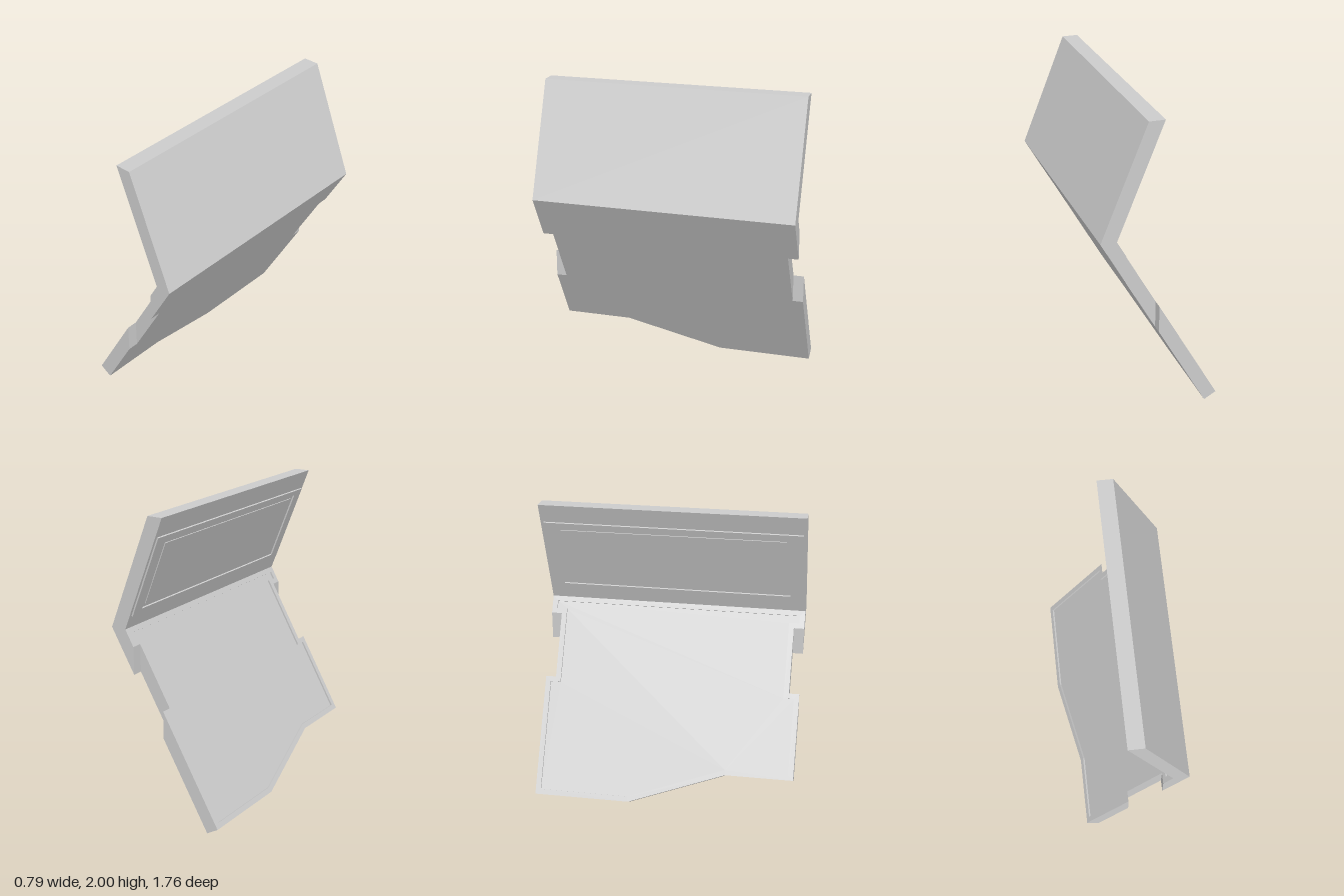
import * as THREE from 'three';

const HALF = 0.88, HINGE_Y = 1.25, OUT_X = 0.39, IN_X = 0.285;
const DX = 0.494, DY = 0.869; // slope of the lower panel, running down from the hinge
const material = new THREE.MeshStandardMaterial({ color: 0xcccccc, flatShading: true, side: THREE.DoubleSide });

function addMesh(group, geometry, name) {
  const mesh = new THREE.Mesh(geometry, material);
  mesh.name = name;
  group.add(mesh);
}

// Point on the lower panel: t down the slope, z across, depth into its thickness
const lowerPoint = (x0, t, z, depth = 0) =>
  new THREE.Vector3(x0 - DX * t + DY * depth, HINGE_Y - DY * t - DX * depth, z);

// Lower panel: outline rows are [z, t on outer face, t on inner face]
function lowerPanelGeometry() {
  const outline = [
    [HALF, 0, 0], [HALF, 0.334, 0.121], [0.81, 0.334, 0.121], [0.81, 0.779, 0.567], [HALF, 0.779, 0.567],
    [HALF, 1.203, 1.151], [0.42, 1.203, 1.151], [-0.23, 1.438, 1.386], [-HALF, 1.438, 1.386],
    [-HALF, 0.779, 0.567], [-0.81, 0.779, 0.567], [-0.81, 0.334, 0.121], [-HALF, 0.334, 0.121], [-HALF, 0, 0],
  ];
  // The recess follows the outline, one rim width inside it
  const recess = [
    [0.845, 0.035], [0.845, 0.086], [0.775, 0.086], [0.775, 0.602], [0.845, 0.602],
    [0.845, 1.116], [0.415, 1.116], [-0.235, 1.351], [-0.845, 1.351],
    [-0.845, 0.602], [-0.775, 0.602], [-0.775, 0.086], [-0.845, 0.086], [-0.845, 0.035],
  ];
  const outer = outline.map(([z, t]) => lowerPoint(OUT_X, t, z));
  const inner = outline.map(([z, , t]) => lowerPoint(IN_X, t, z));
  const lip = recess.map(([z, t]) => lowerPoint(IN_X, t, z));
  const floor = recess.map(([z, t]) => lowerPoint(IN_X, t, z, 0.012));

  const points = [];
  const n = outline.length;
  const flat = (loop) => loop.map((p) => new THREE.Vector2(p.z, p.y));
  const strip = (a, b) => {
    for (let i = 0; i < n; i++) {
      const j = (i + 1) % n;
      points.push(a[i], b[j], b[i], a[i], a[j], b[j]);
    }
  };
  const cap = (loop, flip) => {
    for (const [a, b, c] of THREE.ShapeUtils.triangulateShape(flat(loop), [])) {
      points.push(loop[a], loop[flip ? c : b], loop[flip ? b : c]);
    }
  };
  cap(outer, false);
  strip(outer, inner); // side walls
  strip(inner, lip); // rim
  strip(lip, floor); // recess walls
  cap(floor, true);
  const geometry = new THREE.BufferGeometry().setFromPoints(points);
  geometry.computeVertexNormals();
  return geometry;
}

// Rectangle across the panel, as a shape or a hole
function rectangle(Type, halfWidth, low, high) {
  return new Type([[-halfWidth, low], [halfWidth, low], [halfWidth, high], [-halfWidth, high]]
    .map(([x, y]) => new THREE.Vector2(x, y)));
}

export function createModel() {
  const group = new THREE.Group();
  group.name = 'foldedPanels';

  // Upper panel: slanted profile run along z
  const profile = new THREE.Shape([[OUT_X, HINGE_Y], [0.09, 2], [-0.015, 2], [IN_X, HINGE_Y]]
    .map(([x, y]) => new THREE.Vector2(x, y)));
  const upper = new THREE.ExtrudeGeometry(profile, { depth: HALF * 2, bevelEnabled: false });
  upper.translate(0, 0, -HALF);
  addMesh(group, upper, 'upperPanel');

  addMesh(group, lowerPanelGeometry(), 'lowerPanel');

  // Thin frame and plate lying on the inner face of the upper panel
  const along = new THREE.Vector3(-0.3, 0.75, 0).normalize();
  const across = new THREE.Vector3(0, 0, 1);
  const place = new THREE.Matrix4()
    .makeBasis(across, along, across.clone().cross(along))
    .setPosition(IN_X, HINGE_Y, 0);
  const frame = rectangle(THREE.Shape, 0.86, 0.097, 0.668);
  frame.holes.push(rectangle(THREE.Path, 0.78, 0.135, 0.63));
  const plate = rectangle(THREE.Shape, 0.75, 0.16, 0.605);
  for (const [shape, depth, name] of [[frame, 0.01, 'screenFrame'], [plate, 0.005, 'screenPlate']]) {
    const geometry = new THREE.ExtrudeGeometry(shape, { depth, bevelEnabled: false });
    addMesh(group, geometry.applyMatrix4(place), name);
  }
  return group;
}
